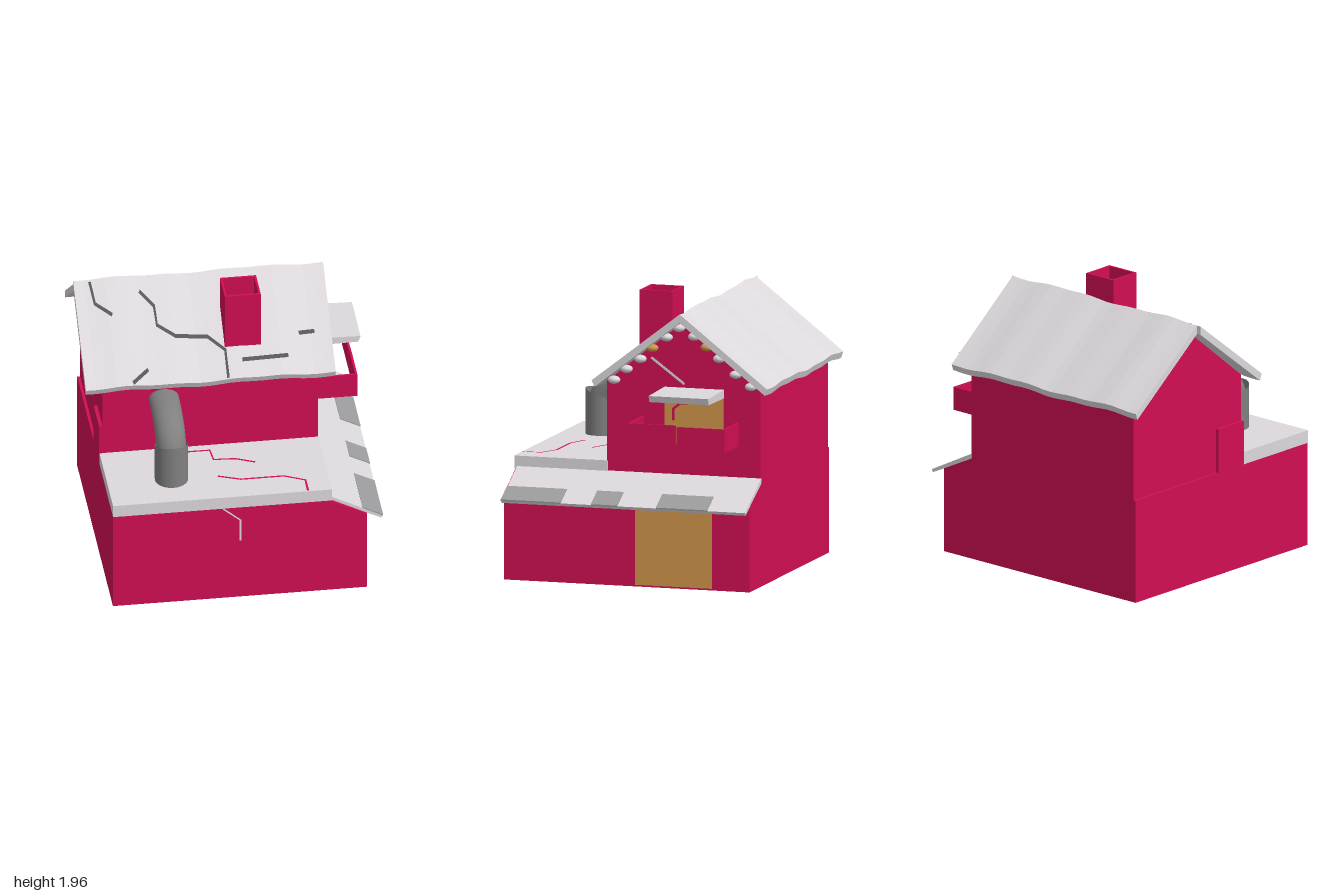
import * as THREE from 'three';

const mat = (name, color, side = THREE.FrontSide) => {
  const m = new THREE.MeshStandardMaterial({ color, side });
  m.name = name;
  return m;
};

export function createModel() {
  const group = new THREE.Group();
  const red = mat('wallRed', 0xd00e53, THREE.DoubleSide);
  const pale = mat('roofPale', 0xdcd8dc, THREE.DoubleSide);
  const gold = mat('gold', 0xd0964a);
  const grey = mat('pipeGrey', 0x808080, THREE.DoubleSide);
  const tile = mat('tileGrey', 0x9c9c9e);
  const dark = mat('crackGrey', 0x58585a, THREE.DoubleSide);

  const add = (name, geo, material) => {
    const mesh = new THREE.Mesh(geo, material);
    mesh.name = name;
    group.add(mesh);
    return mesh;
  };
  // Box given by its limits
  const box = (name, m, x0, x1, y0, y1, z0, z1) =>
    add(name, new THREE.BoxGeometry(x1 - x0, y1 - y0, z1 - z0)
      .translate((x0 + x1) / 2, (y0 + y1) / 2, (z0 + z1) / 2), m);
  const extrude = (pts, depth, steps = 1) => new THREE.ExtrudeGeometry(
    new THREE.Shape(pts.map(p => new THREE.Vector2(...p))), { depth, steps, bevelEnabled: false });
  // Prism with an (x, y) outline running along z
  const prismZ = (pts, z0, z1) => extrude(pts, z1 - z0).translate(0, 0, z0);
  // Prism with a (z, y) outline running along x
  const prismX = (pts, x0, x1, steps) =>
    extrude(pts.map(([z, y]) => [-z, y]), x1 - x0, steps).rotateY(Math.PI / 2).translate(x0, 0, 0);
  // Flat ribbon along a 2D path, placed on a surface by the map function
  const ribbon = (name, m, pts, width, map) => {
    const verts = [], index = [];
    const v = pts.map(p => new THREE.Vector2(...p));
    v.forEach((p, i) => {
      const d = v[Math.min(i + 1, v.length - 1)].clone().sub(v[Math.max(i - 1, 0)]).normalize();
      for (const s of [1, -1]) verts.push(...map(p.x - d.y * s * width / 2, p.y + d.x * s * width / 2));
      if (i) index.push(2 * i - 2, 2 * i - 1, 2 * i, 2 * i, 2 * i - 1, 2 * i + 1);
    });
    const geo = new THREE.BufferGeometry();
    geo.setAttribute('position', new THREE.Float32BufferAttribute(verts, 3));
    geo.setIndex(index);
    geo.computeVertexNormals();
    add(name, geo, m);
  };

  // Ground floor with a sloped right shoulder, and gabled upper floor
  add('lowerWalls', prismZ([[-0.885, 0], [0.88, 0], [0.88, 0.6], [0.63, 0.73], [-0.885, 0.735]], -0.85, 0.925), red);
  add('upperWalls', prismX([[0.26, 0.72], [0.26, 1.38], [-0.3, 1.83], [-0.85, 1.4], [-0.85, 0.72]], -0.865, 0.63), red);
  box('looseWallPiece', red, -0.89, -0.86, 0.73, 1.05, 0, 0.262);

  // Slightly uneven main roof
  const wobble = x => 0.007 * Math.sin(x * 7) + 0.004 * Math.sin(x * 17 + 1);
  const roofSlab = (name, pts, x0, x1) => {
    const geo = prismX(pts, x0, x1, 24);
    const p = geo.attributes.position;
    for (let i = 0; i < p.count; i++) p.setY(i, p.getY(i) + wobble(p.getX(i)));
    geo.computeVertexNormals();
    add(name, geo, pale);
  };
  roofSlab('frontRoof', [[0.335, 1.4], [-0.3, 1.89], [-0.3, 1.83], [0.315, 1.355]], -0.99, 0.745);
  roofSlab('backRoof', [[-0.3, 1.89], [-0.93, 1.4], [-0.915, 1.355], [-0.3, 1.83]], -0.96, 0.74);

  // Cracks on the front roof slope
  const onRoof = (x, y) => [x, y + wobble(x) + 0.005, 0.335 - (y - 1.4) / 0.772 + 0.004];
  [
    [[-0.88, 1.88], [-0.86, 1.78], [-0.75, 1.72]],
    [[-0.545, 1.82], [-0.455, 1.75], [-0.45, 1.665], [-0.33, 1.61], [-0.11, 1.6], [0, 1.53], [0, 1.405]],
    [[-0.66, 1.41], [-0.545, 1.47]],
    [[0.11, 1.48], [0.43, 1.485]],
    [[0.52, 1.585], [0.63, 1.59]],
  ].forEach(path => ribbon('roofCrack', dark, path, 0.018, onRoof));

  // Chimney: four thin walls, open at the top
  box('chimneyFront', red, 0, 0.25, 1.54, 1.96, 0.135, 0.15);
  box('chimneyBack', red, 0, 0.25, 1.54, 1.96, -0.09, -0.075);
  box('chimneyRight', red, 0, 0.015, 1.54, 1.96, -0.075, 0.135);
  box('chimneyLeft', red, 0.235, 0.25, 1.54, 1.96, -0.075, 0.135);

  // Porch slab with cracks
  box('porchRoof', pale, -0.885, 0.635, 0.735, 0.825, 0.255, 0.93);
  [
    [[-0.3, 0.33], [-0.13, 0.33], [-0.12, 0.45], [0.03, 0.46], [0.16, 0.52]],
    [[-0.12, 0.66], [0.03, 0.72], [0.33, 0.72], [0.47, 0.79], [0.47, 0.925]],
  ].forEach(path => ribbon('porchCrack', red, path, 0.016, (x, z) => [x, 0.828, z]));

  // Side awning with darker tiles along its edge
  add('sideAwning', prismZ([[0.63, 0.755], [0.63, 0.72], [0.98, 0.55], [0.99, 0.57]], -0.855, 0.91), pale);
  [[0.48, 0.912], [0.07, 0.26], [-0.58, -0.21]].forEach(([z0, z1]) =>
    add('awningTile', prismZ([[0.85, 0.642], [0.992, 0.566], [0.993, 0.576], [0.85, 0.649]], z0, z1), tile));

  // Wall cracks
  ribbon('frontCrack', pale, [[-0.12, 0.732], [0, 0.63], [0, 0.46]], 0.012, (x, y) => [x, y, 0.928]);
  ribbon('gableCrack', pale, [[-0.06, 1.56], [-0.3, 1.385]], 0.018, (z, y) => [0.633, y, z]);

  // Door, window and window hood
  box('door', gold, 0.878, 0.886, 0.012, 0.55, -0.58, -0.025);
  box('window', gold, 0.628, 0.636, 0.97, 1.32, -0.58, -0.155);
  ribbon('windowCrack', red, [[-0.22, 1.13], [-0.22, 1.21], [-0.27, 1.25], [-0.36, 1.26]], 0.018,
    (z, y) => [0.639, y, z]);
  add('windowHood', prismZ([[0.62, 1.36], [0.62, 1.3], [0.97, 1.305], [0.985, 1.35]], -0.585, -0.155), pale);

  // Planter of thin boards below the window
  box('planterFront', red, 0.925, 0.94, 0.97, 1.145, -0.335, 0.01);
  box('planterFront', red, 0.925, 0.94, 0.97, 1.135, -0.69, -0.342);
  box('planterEnd', red, 0.63, 0.925, 0.97, 1.145, -0.005, 0.01);
  box('planterEnd', red, 0.63, 0.925, 0.97, 1.135, -0.69, -0.675);

  // String of bulbs under the gable
  const bulb = new THREE.SphereGeometry(1, 16, 10).scale(0.04, 0.028, 0.044);
  [[0.19, 1.4], [0.1, 1.48], [0, 1.555], [-0.085, 1.635], [-0.19, 1.715], [-0.28, 1.785],
    [-0.39, 1.73], [-0.48, 1.66], [-0.57, 1.585], [-0.69, 1.48], [-0.8, 1.4]].forEach(([z, y], i) =>
    add('bulb', bulb, i === 3 || i === 7 ? gold : pale).position.set(0.69, y, z));

  // Stove pipe: upright sleeve with a slanted rim and an elbow narrowing into the wall
  const sleeve = new THREE.CylinderGeometry(0.115, 0.115, 0.28, 28, 1, true).translate(0, 0.96, 0.645);
  const sp = sleeve.attributes.position;
  for (let i = 0; i < sp.count; i++)
    if (sp.getY(i) > 1) sp.setY(i, 1.11 + 0.3 * (sp.getZ(i) - 0.645));
  add('pipeSleeve', sleeve.translate(-0.44, 0, 0), grey);
  const curve = new THREE.CatmullRomCurve3([[0.82, 0.645], [1.03, 0.64], [1.14, 0.59], [1.21, 0.47], [1.24, 0.3], [1.24, 0.2]]
    .map(([y, z]) => new THREE.Vector3(-0.44, y, z)));
  const seg = 30, sides = 24;
  const elbow = new THREE.TubeGeometry(curve, seg, 0.105, sides);
  const ep = elbow.attributes.position, v = new THREE.Vector3();
  for (let i = 0; i < ep.count; i++) {
    const u = Math.floor(i / (sides + 1)) / seg, c = curve.getPointAt(u);
    const k = 1 - 0.32 * THREE.MathUtils.smoothstep(u, 0.35, 0.9);
    v.fromBufferAttribute(ep, i).sub(c);
    ep.setXYZ(i, c.x + v.x, c.y + v.y * k, c.z + v.z * k);
  }
  elbow.computeVertexNormals();
  add('pipeElbow', elbow, grey);

  return group;
}
